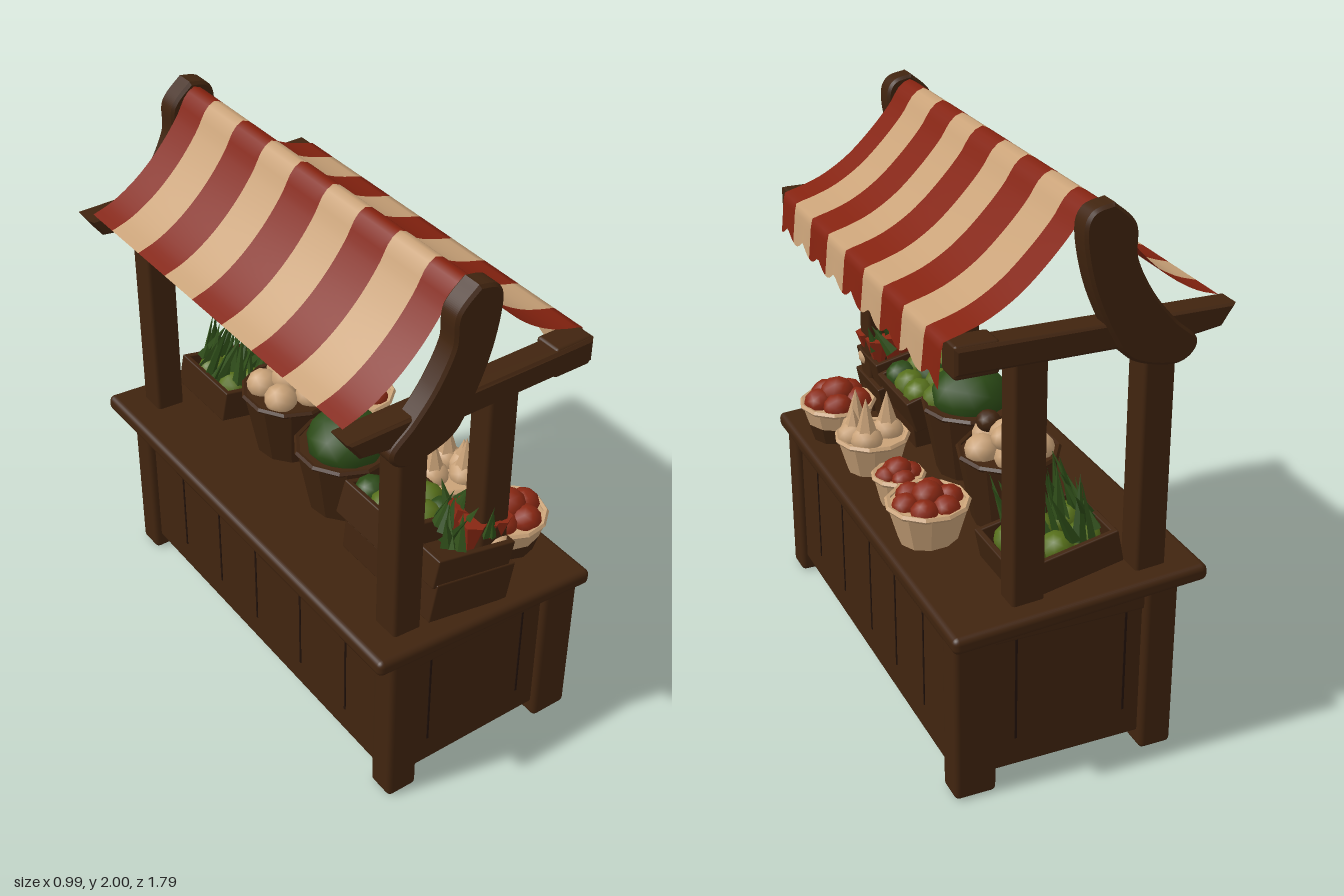
import * as THREE from 'three';
import { RoundedBoxGeometry } from 'three/addons/geometries/RoundedBoxGeometry.js';

const mat = (name, color) => new THREE.MeshStandardMaterial({ name, color, side: THREE.DoubleSide });
const WOOD = mat('wood', 0x40240f), GROOVE = mat('dark groove', 0x23130a);
const RED = mat('red cloth', 0x84220f), CREAM = mat('cream cloth', 0xc9a278);
const TOMATO = mat('tomato red', 0x8a2813), GREEN = mat('dark green', 0x2b4a16);
const LIME = mat('lime green', 0x566f1a), LEAF = mat('leaf green', 0x31501a);

// small seeded generator for natural variation
let seed = 7;
const rnd = (a = 0, b = 1) => {
  seed = (seed * 16807) % 2147483647;
  return a + (b - a) * (seed / 2147483647);
};

function add(parent, name, geo, material, p = [0, 0, 0], r = [0, 0, 0]) {
  const m = new THREE.Mesh(geo, material);
  m.name = name;
  m.position.set(...p);
  m.rotation.set(...r);
  parent.add(m);
  return m;
}
function group(parent, name, p = [0, 0, 0], tilt = 0) {
  const g = new THREE.Group();
  g.name = name;
  g.position.set(...p);
  g.rotation.z = tilt;
  parent.add(g);
  return g;
}
// rounded block given by its limits
function block(parent, name, x0, x1, y0, y1, z0, z1, material = WOOD, r = 0.012) {
  const geo = new RoundedBoxGeometry(x1 - x0, y1 - y0, z1 - z0, 2, r);
  return add(parent, name, geo, material, [(x0 + x1) / 2, (y0 + y1) / 2, (z0 + z1) / 2]);
}
const flat = (geo) => {
  const g = geo.index ? geo.toNonIndexed() : geo;
  g.computeVertexNormals();
  return g;
};
const counterY = (x) => 0.692 - 0.066 * x;

// open wooden crate, centred
function crate(parent, name, p, w, h, d, tilt) {
  const g = group(parent, name, p, tilt), t = 0.022;
  block(g, 'crateFloor', -w / 2, w / 2, -h / 2, -h / 2 + t, -d / 2, d / 2, WOOD, 0.005);
  for (const s of [-1, 1]) {
    const x = s * (w / 2 - t / 2), z = s * (d / 2 - t / 2);
    block(g, 'crateEnd', x - t / 2, x + t / 2, -h / 2, h / 2, -d / 2, d / 2, WOOD, 0.005);
    block(g, 'crateSide', -w / 2, w / 2, -h / 2, h / 2, z - t / 2, z + t / 2, WOOD, 0.005);
  }
  return g;
}
// tapered basket whose upper band may be cloth
function basket(parent, name, x, z, r, h, lower, upper, split = 0.4) {
  const g = group(parent, name, [x, counterY(x) - 0.005, z]);
  const rb = r * 0.72, rm = rb + (r - rb) * split;
  add(g, 'basketBase', flat(new THREE.CylinderGeometry(rm, rb, h * split, 11)), lower, [0, h * split / 2, 0]);
  add(g, 'basketBand', flat(new THREE.CylinderGeometry(r, rm, h * (1 - split), 11)), upper, [0, h * (1 + split) / 2, 0]);
  add(g, 'basketRim', flat(new THREE.TorusGeometry(r * 0.97, 0.011, 5, 11)), upper, [0, h, 0], [Math.PI / 2, 0, 0]);
  return g;
}
// faceted round fruit
function fruit(parent, name, material, p, r, sy = 0.9, detail = 1) {
  const m = add(parent, name, new THREE.IcosahedronGeometry(r, detail), material, p, [0, rnd(0, 6), 0]);
  m.scale.y = sy;
  m.material = material;
  return m;
}
// ring of fruit around a raised middle one
function heap(parent, name, material, y, ring, r, n) {
  fruit(parent, name, material, [0, y + r * 0.5, 0], r * 1.15);
  for (let i = 0; i < n; i++) {
    const a = i / n * Math.PI * 2;
    fruit(parent, name, material, [ring * Math.cos(a), y, ring * Math.sin(a)], r);
  }
}
// upright pointed leaves spread over a rectangle
function leaves(parent, n, w, d, y, h) {
  for (let i = 0; i < n; i++) {
    const geo = flat(new THREE.ConeGeometry(0.026, h * rnd(0.75, 1.1), 4));
    geo.scale(1, 1, 0.5);
    add(parent, 'leaf', geo, i % 3 ? LEAF : GREEN, [rnd(-w, w) / 2, y + h / 2, rnd(-d, d) / 2],
      [rnd(-0.35, 0.35), rnd(0, 3), rnd(-0.35, 0.35)]);
  }
}

function buildCabinet(root) {
  const g = group(root, 'cabinet');
  block(g, 'cabinetBody', -0.315, 0.445, 0.06, 0.66, -0.815, 0.835);
  for (const [x0, x1] of [[-0.34, -0.22], [0.32, 0.468]])
    for (const [z0, z1] of [[0.75, 0.86], [-0.845, -0.735]])
      block(g, 'cabinetLeg', x0, x1, 0, 0.645, z0, z1, WOOD, 0.018);
  // top rails under the counter
  block(g, 'sideRail', -0.33, 0.457, 0.55, 0.64, -0.8, 0.82);
  block(g, 'endRail', -0.3, 0.43, 0.56, 0.64, -0.828, 0.848);
  // plank grooves on all four faces
  for (const x of [0.446, -0.316])
    for (const z of [0.56, 0.28, -0.01, -0.26, -0.52])
      add(g, 'plankGroove', new THREE.BoxGeometry(0.004, 0.38, 0.008), GROOVE, [x, 0.36, z]);
  for (const z of [0.836, -0.816])
    for (const x of [-0.16, 0.24])
      add(g, 'plankGroove', new THREE.BoxGeometry(0.008, 0.4, 0.004), GROOVE, [x, 0.37, z]);
  // gently sloping counter
  add(g, 'counterTop', new RoundedBoxGeometry(0.912, 0.06, 1.79, 3, 0.022), WOOD, [0.035, 0.662, 0], [0, 0, -0.066]);
}

function buildFrame(root) {
  const g = group(root, 'frame');
  for (const z of [0.755, -0.76]) {
    block(g, 'backPost', -0.3, -0.19, 0.66, 1.56, z - 0.055, z + 0.055);
    const x = z > 0 ? 0.11 : 0.195;
    block(g, 'frontPost', x - 0.057, x + 0.057, 0.66, 1.56, z - 0.05, z + 0.05);
  }
  // cross beams with a pointed tail
  const beam = new THREE.Shape([[-0.49, 1.6], [0.44, 1.605], [0.44, 1.535], [-0.34, 1.53], [-0.45, 1.545]]
    .map(([x, y]) => new THREE.Vector2(x, y)));
  // curved gable boards
  const board = new THREE.Shape();
  board.moveTo(-0.05, 1.99);
  board.splineThru([[0.015, 1.97], [0.033, 1.9], [0, 1.74], [-0.07, 1.58], [-0.14, 1.49], [-0.29, 1.455],
    [-0.35, 1.51], [-0.27, 1.59], [-0.19, 1.69], [-0.13, 1.81], [-0.12, 1.92], [-0.05, 1.99]]
    .map(([x, y]) => new THREE.Vector2(x, y)));
  const solid = (shape, depth) => new THREE.ExtrudeGeometry(shape,
    { depth: depth - 0.02, bevelSize: 0.01, bevelThickness: 0.01, bevelSegments: 1, curveSegments: 20 })
    .translate(0, 0, -depth / 2 + 0.01);
  for (const s of [-1, 1]) {
    add(g, 'crossBeam', solid(beam, 0.1), WOOD, [0, 0, s * 0.775]);
    block(g, 'beamCap', 0.3, 0.45, 1.51, 1.62, s * 0.765 - 0.05, s * 0.765 + 0.05);
    add(g, 'gableBoard', solid(board, 0.085), WOOD, [0, 0, s * 0.8]);
  }
  add(g, 'ridgePole', new THREE.CylinderGeometry(0.025, 0.025, 1.55, 8), WOOD, [-0.045, 1.93, 0], [Math.PI / 2, 0, 0]);
}

function buildAwning(root) {
  const g = group(root, 'awning');
  const curve = new THREE.CatmullRomCurve3([[-0.475, 1.615], [-0.4, 1.64], [-0.3, 1.7], [-0.2, 1.79], [-0.12, 1.89],
    [-0.075, 1.965], [-0.04, 1.985], [0, 1.96], [0.04, 1.9], [0.13, 1.8], [0.22, 1.72], [0.32, 1.66],
    [0.42, 1.625], [0.457, 1.615], [0.467, 1.57], [0.477, 1.505]].map(([x, y]) => new THREE.Vector3(x, y, 0)));
  const edges = [-0.755, -0.62, -0.44, -0.265, -0.09, 0.09, 0.265, 0.44, 0.62, 0.755];
  for (let i = 0; i < 9; i++) {
    // one stripe: ridge profile swept along z, with a scalloped hem
    const geo = new THREE.PlaneGeometry(1, 1, 8, 48), pos = geo.attributes.position;
    for (let k = 0; k < pos.count; k++) {
      const t = pos.getY(k) + 0.5;
      const z = edges[i] + (edges[i + 1] - edges[i]) * (pos.getX(k) + 0.5);
      const c = curve.getPointAt(t);
      const hem = Math.max(0, (t - 0.93) / 0.07) * 0.04 * Math.abs(Math.sin(z * Math.PI / 0.17));
      pos.setXYZ(k, c.x, c.y - hem, z);
    }
    geo.computeVertexNormals();
    add(g, i % 2 ? 'creamStripe' : 'redStripe', geo, i % 2 ? CREAM : RED);
  }
}

function buildProduce(root) {
  const g = group(root, 'produce');
  // front row of baskets
  heap(basket(g, 'tomatoBasket', 0.335, 0.61, 0.142, 0.14, WOOD, CREAM, 0.5), 'tomato', TOMATO, 0.15, 0.075, 0.058, 5);
  const garlic = basket(g, 'garlicBasket', 0.31, 0.3, 0.135, 0.13, CREAM, CREAM);
  for (const [x, z, h] of [[0.04, 0.06, 0.16], [0.04, -0.05, 0.17], [-0.06, 0, 0.16], [0.07, 0.01, 0.11]]) {
    fruit(garlic, 'garlicBulb', CREAM, [x, 0.14, z], 0.06);
    add(garlic, 'garlicTip', flat(new THREE.ConeGeometry(0.05, h, 6)), CREAM, [x, 0.14 + h / 2, z]);
  }
  heap(basket(g, 'smallTomatoBasket', 0.32, 0.01, 0.092, 0.11, CREAM, CREAM), 'tomato', TOMATO, 0.11, 0.045, 0.043, 4);
  heap(basket(g, 'appleBasket', 0.32, -0.265, 0.145, 0.14, CREAM, CREAM), 'apple', TOMATO, 0.14, 0.08, 0.05, 6);

  // tall baskets behind
  const melon = basket(g, 'melonBasket', -0.01, 0.12, 0.18, 0.26, WOOD, WOOD);
  fruit(melon, 'melon', GREEN, [0, 0.29, 0.01], 0.145, 0.8);
  fruit(melon, 'smallMelon', LIME, [0.09, 0.26, 0.07], 0.07);
  const roots = basket(g, 'rootBasket', 0.02, -0.27, 0.18, 0.26, WOOD, WOOD);
  heap(roots, 'turnip', CREAM, 0.28, 0.1, 0.062, 5);
  fruit(roots, 'mushroom', WOOD, [0.04, 0.34, 0.08], 0.045);
  fruit(roots, 'turnip', CREAM, [0.05, 0.35, -0.08], 0.05);

  // stacked crates with radishes
  crate(g, 'lowerCrate', [-0.005, 0.785, 0.72], 0.34, 0.15, 0.25, -0.2);
  const radish = crate(g, 'radishCrate', [0, 0.9, 0.73], 0.33, 0.11, 0.22, -0.22);
  for (let i = 0; i < 6; i++)
    add(radish, 'radish', flat(new THREE.ConeGeometry(0.05, 0.17, 6)), TOMATO,
      [0.02 + 0.055 * (i % 3), 0.045, i < 3 ? -0.045 : 0.045], [Math.PI, 0, rnd(-0.3, 0.3)]);
  fruit(radish, 'radishTip', CREAM, [0.13, 0.02, 0.06], 0.05);
  leaves(radish, 20, 0.28, 0.2, 0.08, 0.13);

  // crate of lime greens
  crate(g, 'greensSupport', [-0.02, 0.755, 0.47], 0.3, 0.12, 0.26, -0.1);
  const greens = crate(g, 'greensCrate', [-0.01, 0.87, 0.47], 0.33, 0.13, 0.31, -0.3);
  for (let i = 0; i < 9; i++)
    fruit(greens, 'cabbage', i % 4 ? LIME : GREEN, [-0.09 + 0.09 * (i % 3), 0.05, -0.09 + 0.09 * Math.floor(i / 3)], 0.062);

  // crate of leafy stalks
  const stalks = crate(g, 'leafCrate', [0.04, 0.765, -0.63], 0.38, 0.12, 0.32, -0.2);
  for (let i = 0; i < 6; i++)
    fruit(stalks, 'stalkBase', LIME, [-0.1 + 0.1 * (i % 3), 0.03, i < 3 ? -0.07 : 0.07], 0.06);
  leaves(stalks, 34, 0.28, 0.25, 0.04, 0.23);
}

export function createModel() {
  seed = 7;
  const root = new THREE.Group();
  root.name = 'marketStall';
  buildCabinet(root);
  buildFrame(root);
  buildAwning(root);
  buildProduce(root);
  return root;
}
